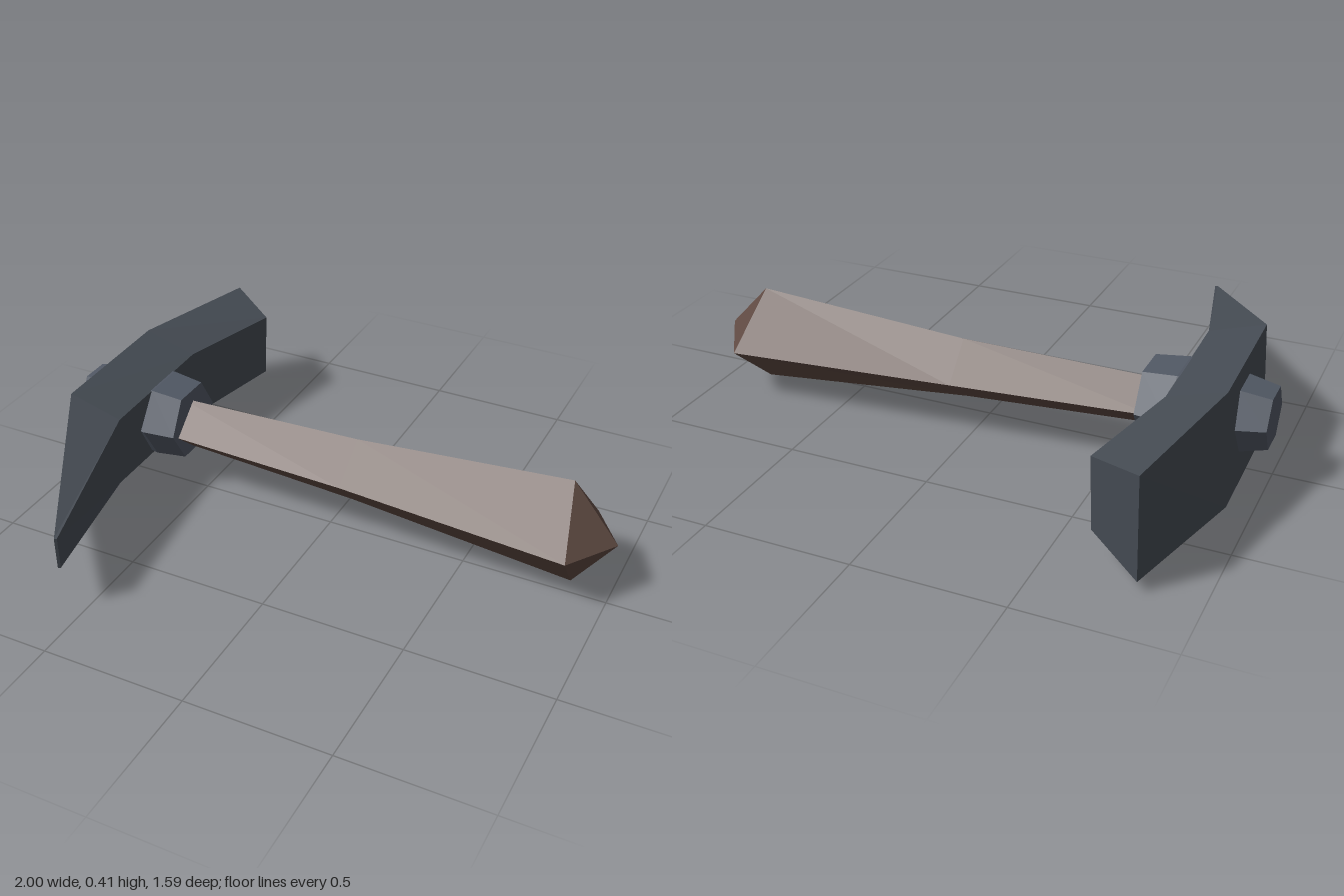
import * as THREE from 'three';

// Skins a row of rings (each listed anticlockwise seen from the last ring) and caps both ends
function loft(rings) {
  const pos = [];
  const tri = (a, b, c) => pos.push(...a, ...b, ...c);
  const n = rings[0].length;
  for (let i = 0; i < rings.length - 1; i++) {
    for (let j = 0; j < n; j++) {
      const k = (j + 1) % n;
      const a = rings[i][j], b = rings[i][k], c = rings[i + 1][k], d = rings[i + 1][j];
      tri(a, b, c);
      tri(a, c, d);
    }
  }
  const first = rings[0], last = rings[rings.length - 1];
  for (let j = 1; j < n - 1; j++) {
    tri(first[0], first[j + 1], first[j]);
    tri(last[0], last[j], last[j + 1]);
  }
  const geo = new THREE.BufferGeometry();
  geo.setAttribute('position', new THREE.Float32BufferAttribute(pos, 3));
  geo.computeVertexNormals();
  return geo;
}

export function createModel() {
  const wood = new THREE.MeshStandardMaterial({ name: 'dark wood', color: 0x5f4a42, flatShading: true });
  const iron = new THREE.MeshStandardMaterial({ name: 'dark iron', color: 0x454b53, flatShading: true });
  const steel = new THREE.MeshStandardMaterial({ name: 'collar steel', color: 0x515864, flatShading: true });

  const group = new THREE.Group();
  group.name = 'pickaxe';
  const add = (name, rings, material) => {
    const mesh = new THREE.Mesh(loft(rings), material);
    mesh.name = name;
    group.add(mesh);
  };

  // Four-sided handle: top, front, bottom and back corner of each section, closing to a point
  const tip = [1, 0.195, -0.06];
  add('handle', [
    [[-0.64, 0.305, -0.07], [-0.64, 0.21, 0.04], [-0.64, 0.13, -0.05], [-0.64, 0.21, -0.15]],
    [[0.06, 0.318, -0.085], [0.06, 0.205, 0.06], [0.06, 0.085, -0.055], [0.06, 0.195, -0.2]],
    [[0.825, 0.372, -0.1], [0.88, 0.2, 0.12], [0.86, 0.003, -0.06], [0.88, 0.172, -0.25]],
    [tip, tip, tip, tip],
  ], wood);

  // Curved head from the blunt back end to the pick edge; the outer face is taller than the inner
  const headStations = [
    // outer x, z, low y, high y, then the same for the inner side, then the lean in x
    [-0.8, -0.79, 0.04, 0.385, -0.62, -0.68, 0.1, 0.345, 0.005],
    [-0.91, -0.28, 0.02, 0.415, -0.72, -0.28, 0.08, 0.36, 0.012],
    [-0.9, 0.23, 0.013, 0.417, -0.71, 0.225, 0.09, 0.36, 0.012],
    [-0.575, 0.795, 0.16, 0.275, -0.567, 0.79, 0.16, 0.275, 0],
  ];
  add('head', headStations.map(([ox, oz, oLow, oHigh, ix, iz, iLow, iHigh, lean]) => [
    [ox - lean, oLow, oz], [ix - lean, iLow, iz], [ix + lean, iHigh, iz], [ox + lean, oHigh, oz],
  ]), iron);

  // Six-sided collar passing through the head
  const collarStations = [[-1, 0.102, 0.242], [-0.9, 0.125, 0.238], [-0.7, 0.152, 0.23], [-0.585, 0.138, 0.23]];
  add('collar', collarStations.map(([x, r, cy]) =>
    Array.from({ length: 6 }, (_, i) => {
      const a = (i + 0.5) * Math.PI / 3;
      return [x, cy + r * Math.cos(a), -0.063 + r * Math.sin(a)];
    })), steel);

  return group;
}
